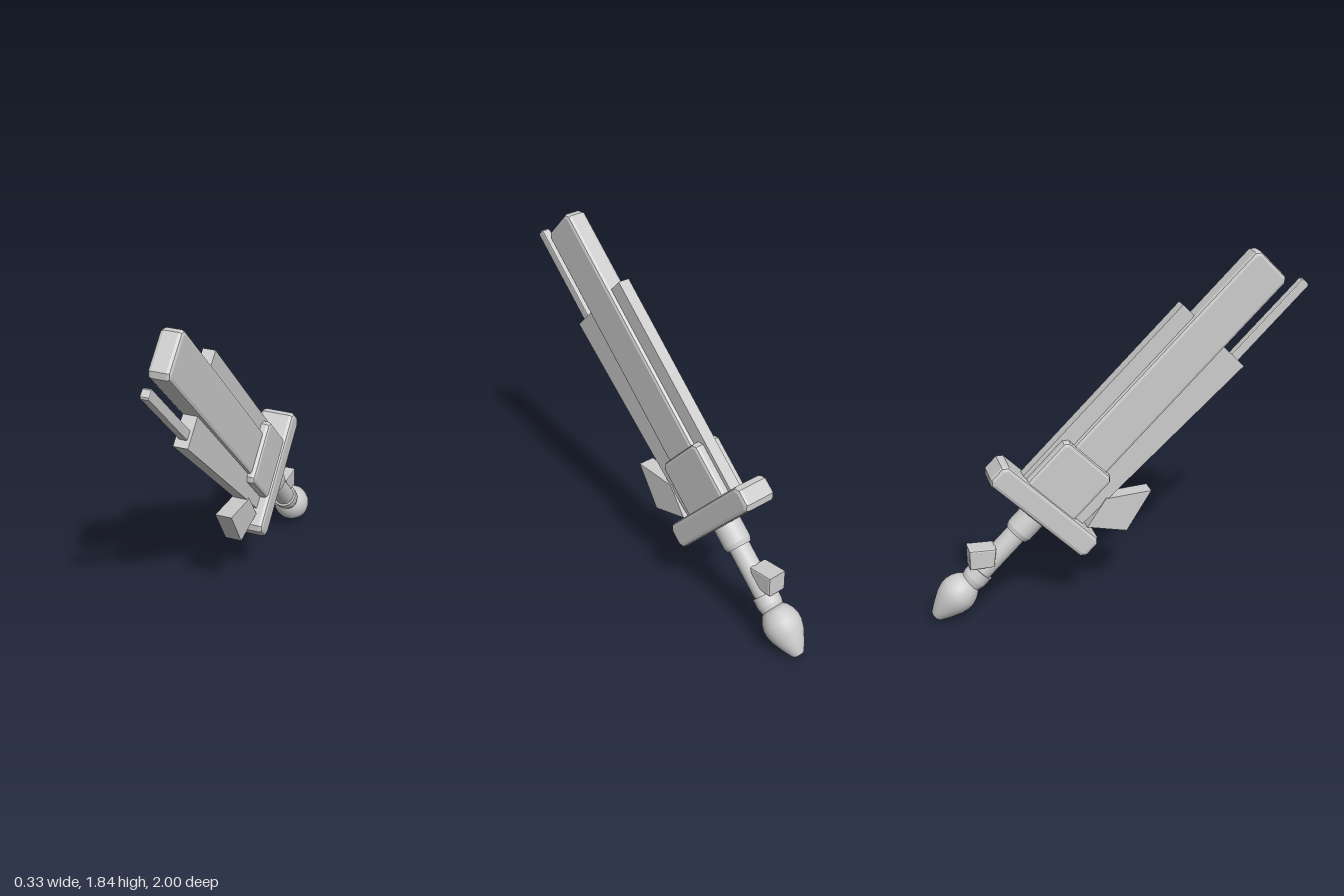
import * as THREE from 'three';

export function createModel() {
  const steel = new THREE.MeshStandardMaterial({ color: 0xcccccc });
  steel.name = 'palePlainGrey';

  // Local frame: y runs along the blade, z towards its lower edge, x is thickness
  const sword = new THREE.Group();
  sword.name = 'sword';

  const add = (name, geometry) => {
    const mesh = new THREE.Mesh(geometry, steel);
    mesh.name = name;
    sword.add(mesh);
    return mesh;
  };

  // Flat outline in [z, y] given a thickness and an optional chamfer
  const plate = (name, outline, thick, chamfer = 0) => {
    const shape = new THREE.Shape(outline.map(([z, y]) => new THREE.Vector2(z, y)));
    const geo = new THREE.ExtrudeGeometry(shape, {
      depth: thick - 2 * chamfer,
      bevelEnabled: chamfer > 0,
      bevelThickness: chamfer,
      bevelSize: chamfer,
      bevelOffset: -chamfer,
      bevelSegments: 2,
    });
    geo.translate(0, 0, chamfer - thick / 2);
    geo.rotateY(-Math.PI / 2);
    return add(name, geo);
  };

  // Rectangle with clipped corners
  const slab = (name, y0, y1, z0, z1, thick, c) =>
    plate(name, [
      [z0 + c, y0], [z1 - c, y0], [z1, y0 + c], [z1, y1 - c],
      [z1 - c, y1], [z0 + c, y1], [z0, y1 - c], [z0, y0 + c],
    ], thick, c * 0.8);

  // Blade made of a thick core with a thinner plate on each edge
  slab('bladeCore', 0, 1.70, -0.12, 0.12, 0.11, 0.024);
  plate('upperEdgePlate', [[-0.207, 0.04], [-0.09, 0.04], [-0.09, 1.243], [-0.207, 1.243]], 0.065);
  plate('lowerEdgePlate', [[0.09, 0.04], [0.225, 0.04], [0.28, 1.233], [0.09, 1.233]], 0.075);
  slab('thinBar', 0.8, 1.76, 0.19, 0.242, 0.045, 0.008);

  // Guard and the block at the root of the blade
  slab('guard', -0.067, 0.067, -0.347, 0.347, 0.19, 0.026);
  slab('rootBlock', 0, 0.355, -0.185, 0.16, 0.16, 0.024);
  plate('guardFin', [[0.257, 0.069], [0.442, 0.187], [0.384, 0.433], [0.222, 0.247]], 0.09);

  // Handle
  const ring = (name, y0, y1, rBottom, rTop) =>
    add(name, new THREE.CylinderGeometry(rTop, rBottom, y1 - y0, 32)).position.y = (y0 + y1) / 2;
  ring('grip', -0.56, -0.04, 0.056, 0.056);
  ring('upperCollar', -0.17, -0.05, 0.075, 0.075);
  ring('collarLip', -0.195, -0.17, 0.066, 0.075);
  ring('lowerCollar', -0.515, -0.46, 0.067, 0.067);
  ring('lowerCollarLip', -0.55, -0.515, 0.058, 0.067);
  plate('gripBlock', [[-0.052, -0.31], [-0.154, -0.405], [-0.078, -0.48], [0.01, -0.39]], 0.11, 0.008)
    .position.x = -0.015;

  // Acorn-shaped pommel
  const profile = [
    [0, -0.805], [0.022, -0.805], [0.034, -0.797], [0.062, -0.748], [0.09, -0.69],
    [0.1, -0.65], [0.1, -0.62], [0.09, -0.585], [0.072, -0.555], [0.05, -0.535], [0, -0.535],
  ].map(([r, y]) => new THREE.Vector2(r, y));
  add('pommel', new THREE.LatheGeometry(profile, 32)).position.z = -0.01;

  // Lean the sword forward and turn it slightly
  sword.rotation.set(0.79, 0.105, 0, 'YXZ');
  sword.position.set(-0.031, 0.567, -0.412);

  const model = new THREE.Group();
  model.name = 'model';
  model.add(sword);
  return model;
}
